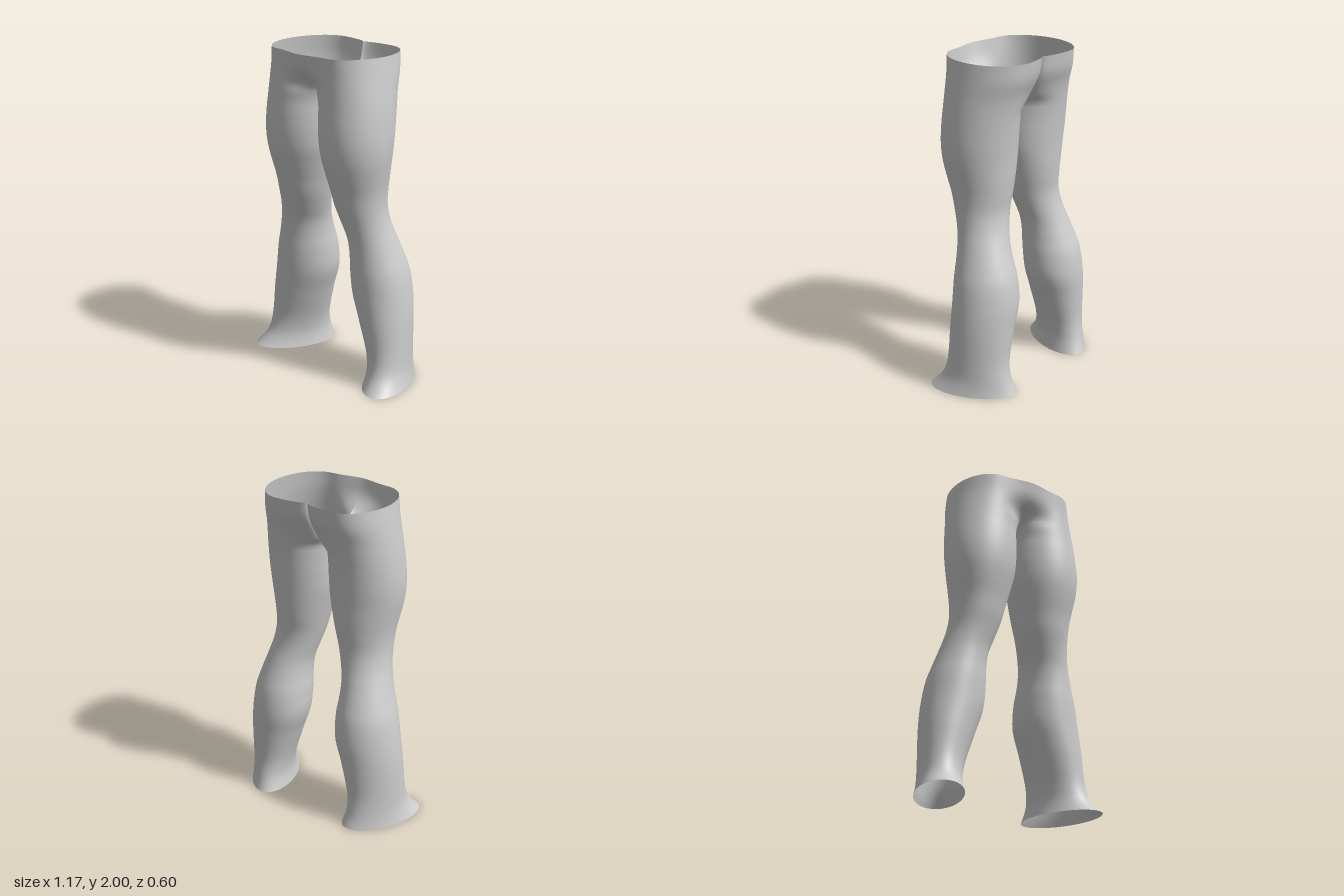
import * as THREE from 'three';
import { mergeVertices } from 'three/addons/utils/BufferGeometryUtils.js';

// Leg sections: height, inner x, outer x, front z, back z, outward turn
const LEG = [
  [0.00, 0.250, 0.587, 0.207, -0.297, 0.30],
  [0.04, 0.259, 0.568, 0.168, -0.281, 0.28],
  [0.10, 0.265, 0.550, 0.130, -0.265, 0.24],
  [0.20, 0.250, 0.543, 0.110, -0.252, 0.20],
  [0.40, 0.190, 0.535, 0.115, -0.260, 0.12],
  [0.55, 0.142, 0.520, 0.120, -0.267, 0.08],
  [0.70, 0.136, 0.495, 0.125, -0.250, 0.05],
  [0.80, 0.143, 0.465, 0.125, -0.217, 0.04],
  [0.90, 0.138, 0.435, 0.132, -0.180, 0.04],
  [1.00, 0.110, 0.410, 0.155, -0.150, 0.04],
  [1.10, 0.080, 0.400, 0.185, -0.137, 0.05],
  [1.20, 0.056, 0.405, 0.210, -0.146, 0.06],
  [1.30, 0.033, 0.422, 0.240, -0.155, 0.06],
  [1.40, 0.011, 0.440, 0.264, -0.161, 0.05],
  [1.50, 0.003, 0.448, 0.275, -0.170, 0.03],
  [1.60, 0.000, 0.445, 0.275, -0.180, 0.01],
  [1.70, 0.000, 0.436, 0.269, -0.194, 0.00],
  [1.80, 0.000, 0.422, 0.265, -0.216, 0.00],
  [1.90, 0.000, 0.406, 0.265, -0.250, 0.00],
  [2.00, 0.000, 0.390, 0.272, -0.265, 0.00],
];

// Centre seam above the crotch: height, front z, back z
const CROTCH = 1.7;
const SEAM = [
  [1.70, 0.035, 0.035],
  [1.74, 0.060, -0.060],
  [1.78, 0.120, -0.110],
  [1.84, 0.220, -0.165],
  [1.90, 0.272, -0.200],
  [2.00, 0.300, -0.220],
];

// Smooth interpolation of a table by its first column
function sample(table, y) {
  let i = 0;
  while (i < table.length - 2 && y > table[i + 1][0]) i++;
  const a = table[i], b = table[i + 1];
  const p = table[Math.max(i - 1, 0)], n = table[Math.min(i + 2, table.length - 1)];
  const h = b[0] - a[0], t = (y - a[0]) / h;
  return a.map((v, c) => {
    const m0 = (b[c] - p[c]) / (b[0] - p[0]) * h;
    const m1 = (n[c] - v) / (n[0] - a[0]) * h;
    const t2 = t * t, t3 = t2 * t;
    return v * (2 * t3 - 3 * t2 + 1) + m0 * (t3 - 2 * t2 + t)
      + b[c] * (3 * t2 - 2 * t3) + m1 * (t3 - t2);
  });
}

// Point on the section at height y; a runs inner seam, front, outer, back, inner seam
function sectionPoint(y, a) {
  let [, xi, xo, zf, zb, turn] = sample(LEG, y);
  const mid = (zf + zb) / 2, joined = y > CROTCH;
  xi = joined ? 0 : Math.max(xi, 0.002);
  const [, seamF, seamB] = joined ? sample(SEAM, y) : [0, mid, mid];
  const c = Math.cos(a), s = Math.abs(Math.sin(a));
  const front = Math.sin(a) >= 0;
  const peak = front ? zf : zb;
  let z;
  if (c < 0) {
    // Belly runs smoothly across the centre; the seat keeps its cleft
    const soft = front ? THREE.MathUtils.smoothstep(y, 1.74, 1.88) : 0;
    const u = -c;
    const k = THREE.MathUtils.lerp(s, 1 - u * u * (3 - 2 * u), soft);
    const end = front ? seamF : seamB;
    z = end + (peak - end) * k;
  } else {
    z = mid + (peak - mid) * s;
  }
  const half = (xo - xi) / 2, depth = (zf - zb) / 2;
  const rx = Math.sqrt(half * half - (turn * depth) ** 2);
  const x = (xi + xo) / 2 + rx * c + turn * (z - mid);
  return [Math.abs(c + 1) < 1e-9 && joined ? 0 : x, z];
}

function trouserGeometry() {
  const rows = 84, cols = 48, pos = [], index = [];
  for (const side of [1, -1]) {
    const base = pos.length / 3;
    for (let r = 0; r <= rows; r++) {
      const y = 2 * r / rows;
      for (let j = 0; j <= cols; j++) {
        const [x, z] = sectionPoint(y, Math.PI * (1 - 2 * j / cols));
        pos.push(side * x, y, z);
      }
    }
    for (let r = 0; r < rows; r++) {
      for (let j = 0; j < cols; j++) {
        const a = base + r * (cols + 1) + j, b = a + 1, d = a + cols + 1, e = d + 1;
        if (side > 0) index.push(a, b, e, a, e, d);
        else index.push(a, e, b, a, d, e);
      }
    }
  }
  const geo = new THREE.BufferGeometry();
  geo.setAttribute('position', new THREE.Float32BufferAttribute(pos, 3));
  geo.setIndex(index);
  // Weld the inner leg seams and the centre seam
  const welded = mergeVertices(geo, 1e-4);
  welded.computeVertexNormals();
  return welded;
}

export function createModel() {
  const group = new THREE.Group();
  group.name = 'trousers';
  const cloth = new THREE.MeshStandardMaterial({ color: 0xcccccc, side: THREE.DoubleSide });
  cloth.name = 'light grey cloth';
  const mesh = new THREE.Mesh(trouserGeometry(), cloth);
  mesh.name = 'trouserLegs';
  group.add(mesh);
  return group;
}
